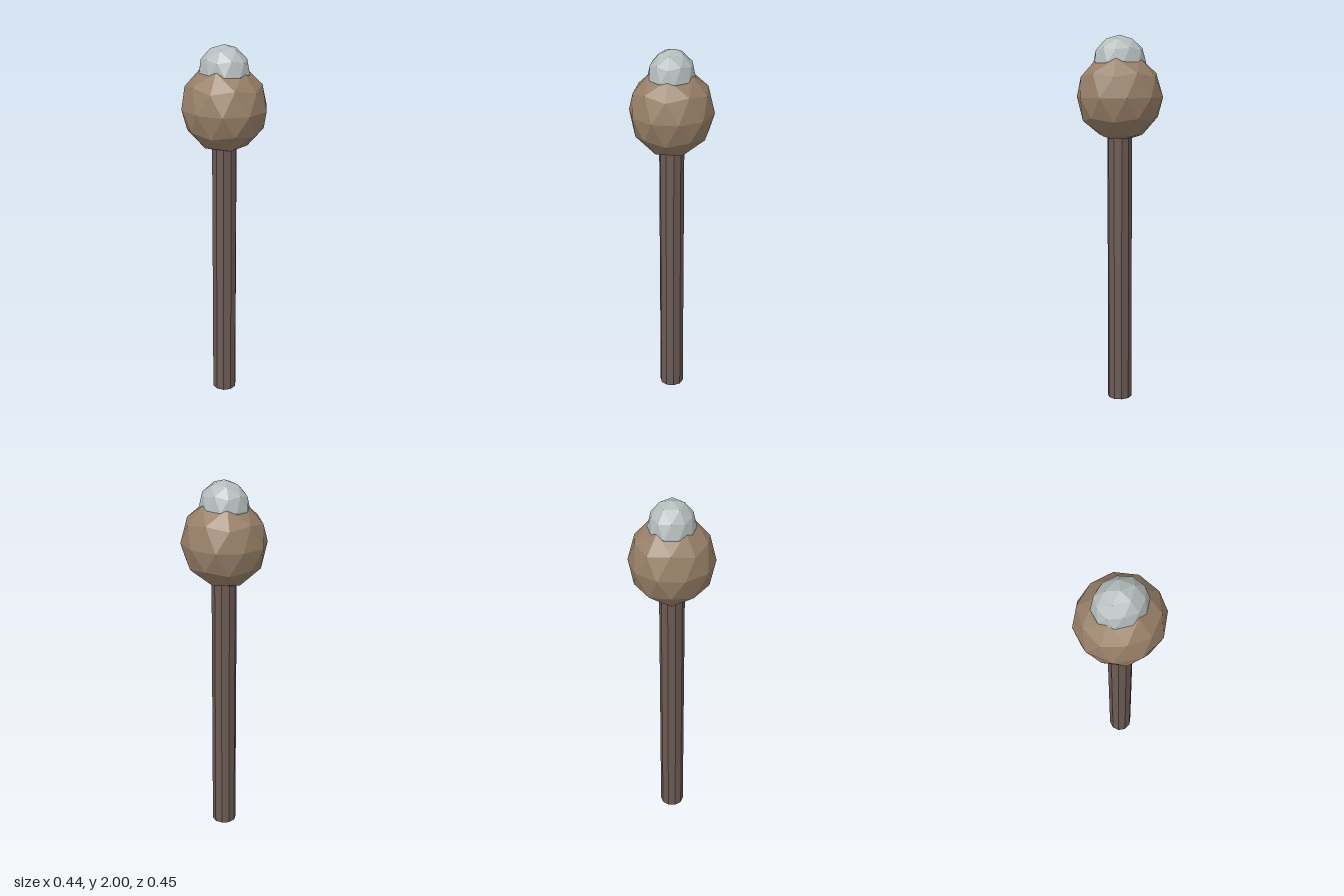
import * as THREE from 'three';

const flat = (color) => new THREE.MeshStandardMaterial({ color, flatShading: true });

// Faceted ball standing on a vertex, stretched to the given radii
function facetedBall(name, color, y, rx, ry, rz) {
  const geometry = new THREE.IcosahedronGeometry(1, 1);
  geometry.rotateZ(-Math.atan(2 / (1 + Math.sqrt(5)))); // bring one corner to the top
  geometry.scale(rx, ry, rz);
  const mesh = new THREE.Mesh(geometry, flat(color));
  mesh.name = name;
  mesh.position.y = y;
  return mesh;
}

export function createModel() {
  const model = new THREE.Group();
  model.name = 'staff';

  // Ten-sided shaft, its top end sunk into the ball
  const shaftHeight = 1.6;
  const shaft = new THREE.Mesh(
    new THREE.CylinderGeometry(0.0667, 0.0667, shaftHeight, 10),
    flat(0x6b5b55)
  );
  shaft.name = 'shaft';
  shaft.position.y = shaftHeight / 2;
  model.add(shaft);

  // Large ball with a smaller pale cap sunk into its top
  model.add(facetedBall('ball', 0x977f67, 1.674, 0.2335, 0.239, 0.2235));
  model.add(facetedBall('cap', 0xb4bcbc, 1.857, 0.1427, 0.143, 0.1235));

  return model;
}
